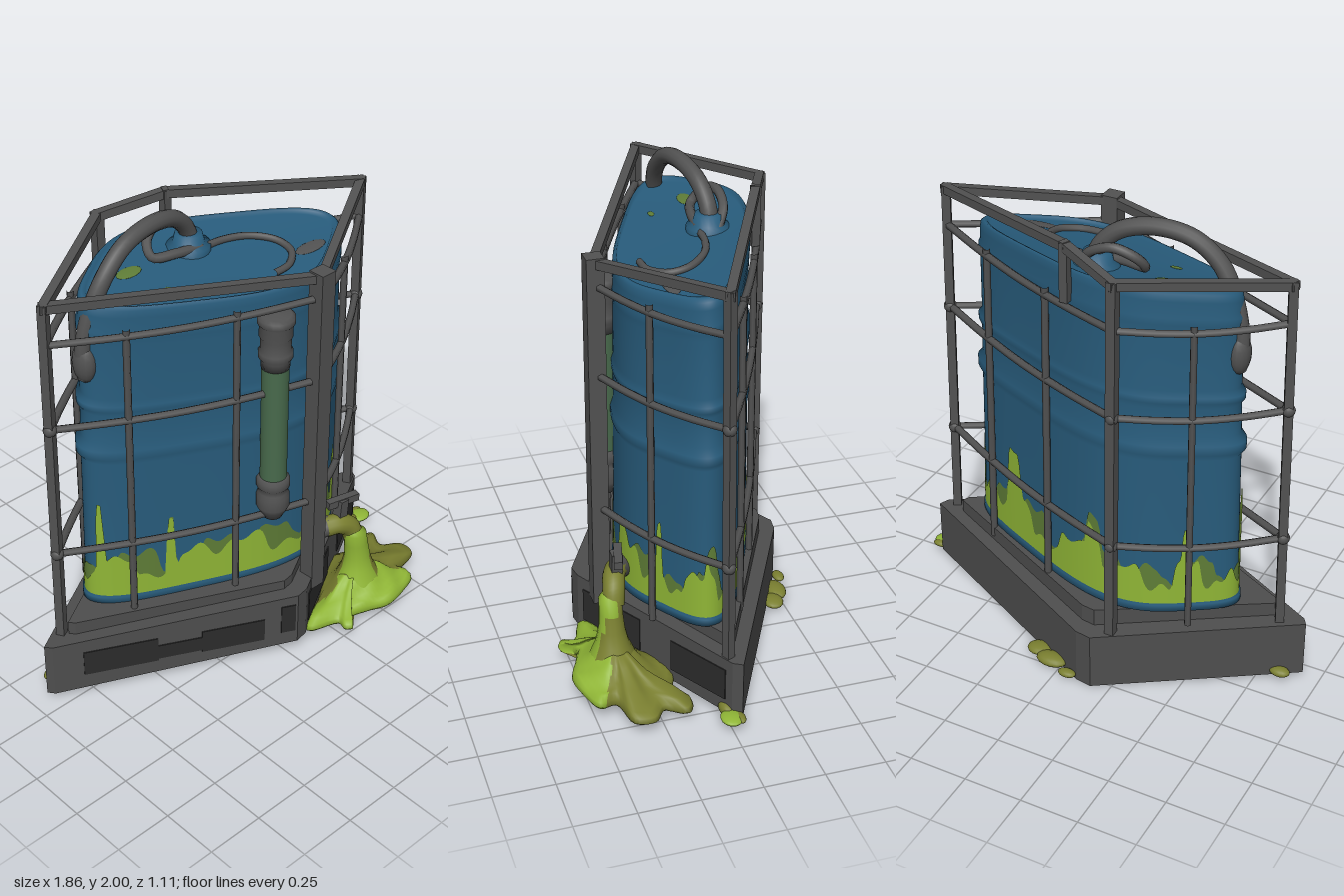
import * as THREE from 'three';

const mat = (name, color, side = THREE.FrontSide) => {
  const m = new THREE.MeshStandardMaterial({ color, side });
  m.name = name;
  return m;
};
const V = (x, y, z) => new THREE.Vector3(x, y, z);

export function createModel() {
  const root = new THREE.Group();
  const blue = mat('drum blue', 0x285c7c);
  const steel = mat('steel grey', 0x525252);
  const palletGrey = mat('pallet grey', 0x4e4e4e);
  const dark = mat('recess dark', 0x2c2c2c);
  const slime = mat('bright slime', 0x90b636, THREE.DoubleSide);
  const mossy = mat('deep slime', 0x5f7d37, THREE.DoubleSide);
  const olive = mat('olive slime', 0x7a7f30, THREE.DoubleSide);
  const glass = mat('gauge green', 0x486a4c);

  const add = (name, geo, m, parent = root) => {
    const mesh = new THREE.Mesh(geo, m);
    mesh.name = name;
    parent.add(mesh);
    return mesh;
  };
  const group = (name) => {
    const g = new THREE.Group();
    g.name = name;
    root.add(g);
    return g;
  };
  const tube = (name, pts, r, m, parent, n = 32, sides = 8) =>
    add(name, new THREE.TubeGeometry(new THREE.CatmullRomCurve3(pts), n, r, sides), m, parent);
  const bar = (name, a, b, w, m, parent) => {
    const mesh = add(name, new THREE.BoxGeometry(w, w, a.distanceTo(b) + w * 0.8), m, parent);
    mesh.position.copy(a).lerp(b, 0.5);
    mesh.lookAt(b);
    return mesh;
  };
  const blob = (name, x, y, z, sx, sy, sz, m, parent) => {
    const mesh = add(name, new THREE.SphereGeometry(1, 14, 10), m, parent);
    mesh.position.set(x, y, z);
    mesh.scale.set(sx, sy, sz);
    return mesh;
  };
  // Loops of points joined into a skin; pick() chooses a material slot per cell
  const skin = (loops, pick = () => 0) => {
    const n = loops[0].length, idx = [[], []];
    for (let j = 0; j < loops.length - 1; j++) for (let i = 0; i < n; i++) {
      const k = (i + 1) % n, a = j * n + i, b = a + n, c = (j + 1) * n + k, d = j * n + k;
      idx[pick(loops[j][i], j)].push(a, b, c, a, c, d);
    }
    const g = new THREE.BufferGeometry();
    g.setAttribute('position', new THREE.Float32BufferAttribute(loops.flat().flatMap((p) => p.toArray()), 3));
    g.setIndex([...idx[0], ...idx[1]]);
    g.addGroup(0, idx[0].length, 0);
    g.addGroup(idx[0].length, idx[1].length, 1);
    g.computeVertexNormals();
    return g;
  };

  // Pallet: skewed slab with a slight slope, a raised tray and dark fork openings
  const pallet = group('pallet');
  const slab = (name, c, y0, y1, s0, s1) => {
    const g = new THREE.ExtrudeGeometry(
      new THREE.Shape(c.map(([x, z]) => new THREE.Vector2(x, -z))), { depth: 1, bevelEnabled: false });
    g.rotateX(-Math.PI / 2);
    const p = g.attributes.position;
    for (let i = 0; i < p.count; i++) {
      const z = p.getZ(i);
      p.setY(i, p.getY(i) < 0.5 ? y0 + s0 * z : y1 + s1 * z);
    }
    g.computeVertexNormals();
    return add(name, g, palletGrey, pallet);
  };
  const foot = [[-0.93, -0.08], [-0.91, -0.05], [0.03, 0.43], [0.09, 0.42], [0.84, -0.01], [0.86, -0.05], [-0.1, -0.53], [-0.17, -0.54]];
  slab('palletBody', foot, 0.037, 0.29, 0.065, 0.06);
  slab('palletTray', foot.map(([x, z]) => [-0.02 + (x + 0.02) * 0.86, -0.055 + (z + 0.055) * 0.84]), 0.26, 0.348, 0.06, 0.02);
  const opening = (a, b, f0, f1, y0, y1) => {
    const dir = V(b[0] - a[0], 0, b[1] - a[1]), len = dir.length();
    const m = add('forkOpening', new THREE.BoxGeometry(len * (f1 - f0), y1 - y0, 0.009), dark, pallet);
    m.position.set(a[0], (y0 + y1) / 2, a[1]).addScaledVector(dir, (f0 + f1) / 2);
    m.rotation.y = Math.atan2(-dir.z, dir.x);
  };
  opening(foot[1], foot[2], 0.12, 0.42, 0.11, 0.23);
  opening(foot[1], foot[2], 0.42, 0.6, 0.12, 0.19);
  opening(foot[1], foot[2], 0.6, 0.86, 0.11, 0.22);
  opening(foot[1], foot[2], 0.93, 0.99, 0.13, 0.27);
  opening(foot[3], foot[4], 0.04, 0.42, 0.11, 0.26);
  opening(foot[3], foot[4], 0.62, 0.96, 0.1, 0.24);

  // Drum: rounded skew cross-section, ribs, top sloping down to the front
  const drumPoint = (t, y, s) => {
    const c = Math.cos(t), n = Math.sin(t);
    const r = 0.99 * s / (Math.abs(c) ** 3.4 + Math.abs(n) ** 3.4) ** (1 / 3.4);
    const z = -0.06 + r * (-0.18 * c + 0.225 * n);
    const k = Math.max(0, (y - 0.45) / 1.31);
    return V(r * (0.28 * c + 0.49 * n), y - 0.17 * (z + 0.06) * k, z);
  };
  const N = 360;
  const ring = (f) => Array.from({ length: N }, (_, i) => f((i / N) * Math.PI * 2));
  const profile = [[0.33, 0.96], [0.345, 1.03], [0.375, 1.03], [0.39, 1.005], [0.5, 1.005], [1.05, 0.99], [1.08, 1.025],
    [1.12, 1.025], [1.15, 0.985], [1.28, 0.98], [1.305, 1.005], [1.33, 1.005], [1.355, 0.975], [1.6, 0.97], [1.63, 0.98],
    [1.66, 0.98], [1.68, 0.965], [1.725, 0.965], [1.755, 0.955], [1.768, 0.93], [1.765, 0.9], [1.75, 0.885], [1.75, 0]];
  add('drum', skin(profile.map(([y, s]) => ring((t) => drumPoint(t, y, s)))), blue);

  // Slime coating on the drum: lumpy plateaus with round-topped drips [angle, height, half width] over a deeper layer
  const drips = [[3.32, 0.27, 0.035], [3.86, 0.3, 0.04], [1.64, 0.24, 0.05], [0.18, 0.24, 0.09], [4.75, 0.16, 0.06], [5.6, 0.14, 0.06],
    [2.2, 0.08, 0.1], [0.9, 0.1, 0.08]];
  const edge = (t, ph) => {
    let h = 0.535 + 0.055 * Math.tanh(2.5 * (Math.sin(7 * t + ph) + Math.sin(12 * t + 1 + ph * 2))) + 0.018 * Math.sin(29 * t + ph);
    for (const [d, a, w] of drips) h += a * Math.exp(-(((t - d) / w) ** 6));
    return h;
  };
  const coat = (name, m, y0, s, ph, dh) => add(name, skin([0, 0.35, 0.7, 1].map((f) => ring((t) => {
    const top = edge(t, ph) + dh;
    return drumPoint(t, y0 + (top - y0) * f, s);
  }))), m);
  coat('slimeShade', mossy, 0.38, 1.012, 1.1, 0.005);
  coat('slimeCoat', slime, 0.375, 1.018, 0, -0.015);

  // Cage: four posts, top ring, bowed rails and uprights
  const cage = group('cage');
  const posts = [V(-0.8, 1.84, -0.11), V(0.19, 1.77, 0.35), V(0.77, 1.84, 0), V(-0.24, 1.87, -0.47)];
  const feet = [V(-0.82, 0.28, -0.1), V(0.19, 0.28, 0.35), V(0.79, 0.28, -0.01), V(-0.23, 0.25, -0.47)];
  const widths = [0.036, 0.072, 0.036, 0.04];
  posts.forEach((p, i) => bar('cornerPost', feet[i], p, widths[i], steel, cage));
  const stub = V(0.02, 1.92, -0.36);
  bar('rearStub', V(0.02, 1.7, -0.36), stub, 0.035, steel, cage);
  const top = [posts[0], posts[1], posts[2], stub, posts[3]];
  top.forEach((p, i) => bar('topRail', p, top[(i + 1) % 5], 0.036, steel, cage));
  const uprights = [[0.28, 0.68], [0.45], [0.28, 0.64], [0.45]];
  for (let i = 0; i < 4; i++) {
    const j = (i + 1) % 4;
    const out = V(posts[j].z - posts[i].z, 0, posts[i].x - posts[j].x).normalize().negate();
    const at = (y, f) => {
      const q = (k) => feet[k].clone().lerp(posts[k], (y - 0.28) / 1.56).setY(y);
      return q(i).lerp(q(j), f).addScaledVector(out, 0.022 * Math.sin(Math.PI * f));
    };
    for (const y of [0.7, 1.3, 1.68])
      tube('sideRail', [0, 0.25, 0.5, 0.75, 1].map((f) => at(y - 0.015 * Math.sin(Math.PI * f), f)), 0.016, steel, cage, 16, 6);
    for (const f of uprights[i])
      tube('upright', [0.3, 0.8, 1.3, 1.7].map((y) => at(y, f)), 0.015, steel, cage, 10, 6);
    for (const f of [0, 1]) for (const y of [0.7, 1.3]) {
      const p = at(y, f);
      blob('railJoint', p.x, p.y, p.z, 0.028, 0.028, 0.028, steel, cage);
    }
  }

  // Level gauge set into the front face
  const gauge = group('levelGauge');
  gauge.position.set(0.02, 0, 0.275);
  const lathe = (name, pts, m, parent) =>
    add(name, new THREE.LatheGeometry(pts.map(([r, y]) => new THREE.Vector2(r, y)), 20), m, parent);
  lathe('gaugeTube', [[0.056, 0.85], [0.056, 1.45]], glass, gauge);
  lathe('gaugeTopFitting', [[0, 1.4], [0.058, 1.405], [0.06, 1.44], [0.07, 1.455], [0.07, 1.48], [0.062, 1.49], [0.062, 1.54],
    [0.068, 1.55], [0.068, 1.6], [0.076, 1.61], [0.076, 1.635], [0.06, 1.645], [0, 1.65]], steel, gauge);
  lathe('gaugeBottomFitting', [[0, 0.66], [0.04, 0.67], [0.06, 0.71], [0.07, 0.73], [0.07, 0.78], [0.062, 0.8], [0.062, 0.82],
    [0.07, 0.83], [0.07, 0.86], [0.058, 0.875], [0, 0.88]], steel, gauge);

  // Hoses and filler neck on the drum top
  const hoses = group('hoses');
  tube('mainHose', [V(-0.6, 1.44, -0.13), V(-0.61, 1.56, -0.13), V(-0.575, 1.72, -0.12), V(-0.51, 1.85, -0.11), V(-0.4, 1.94, -0.12),
    V(-0.25, 1.965, -0.14), V(-0.11, 1.93, -0.165), V(-0.03, 1.85, -0.18), V(0, 1.75, -0.18)], 0.035, steel, hoses, 48, 12);
  blob('hoseEnd', -0.605, 1.51, -0.13, 0.045, 0.09, 0.055, steel, hoses);
  tube('coiledHose', [V(0.03, 1.77, -0.2), V(-0.02, 1.85, -0.24), V(-0.12, 1.89, -0.24), V(-0.21, 1.85, -0.21),
    V(-0.22, 1.8, -0.17), V(-0.12, 1.79, -0.14), V(0, 1.78, -0.13)], 0.02, steel, hoses, 40);
  tube('thinHose', [[0, -0.13], [0.12, -0.12], [0.22, -0.08], [0.29, 0], [0.29, 0.08], [0.22, 0.14], [0.13, 0.15]]
    .map(([x, z]) => V(x, 1.76 - 0.17 * (z + 0.06), z)), 0.015, steel, hoses, 40);
  lathe('fillerNeck', [[0.09, 1.74], [0.09, 1.78], [0.065, 1.79], [0.055, 1.83], [0, 1.835]], blue, hoses).position.set(-0.02, 0, -0.18);
  const stain = (x, z, rx, rz, m) => blob('lidStain', x, 1.751 - 0.17 * (z + 0.06), z, rx, 0.004, rz, m, root).rotateX(0.168);
  stain(-0.33, -0.18, 0.06, 0.03, mossy);
  stain(-0.28, -0.02, 0.025, 0.012, mossy);
  stain(0.38, 0.1, 0.08, 0.03, steel);

  // Tap with its handle, and the slime pouring from it in a widening stream
  const tap = group('tap');
  tube('tapPipe', [V(0.24, 0.43, 0.22), V(0.28, 0.45, 0.28), V(0.33, 0.47, 0.32)], 0.045, steel, tap, 12, 12);
  tube('tapSpout', [V(0.31, 0.465, 0.31), V(0.36, 0.47, 0.335), V(0.41, 0.44, 0.35), V(0.435, 0.38, 0.36)], 0.046, olive, tap, 18, 12);
  bar('tapStem', V(0.37, 0.46, 0.33), V(0.38, 0.57, 0.33), 0.045, steel, tap);
  bar('tapHandle', V(0.33, 0.575, 0.31), V(0.45, 0.575, 0.34), 0.034, steel, tap);
  const stream = [[0.42, 0.43, 0.03], [0.43, 0.41, 0.052], [0.44, 0.35, 0.054], [0.45, 0.28, 0.06], [0.455, 0.22, 0.075], [0.46, 0.17, 0.1], [0.46, 0.1, 0.13]];
  add('pouringSlime', skin(stream.reverse().map(([x, y, r]) =>
    Array.from({ length: 16 }, (_, i) => V(x + r * Math.cos(i * Math.PI / 8), y, 0.372 + r * 0.9 * Math.sin(i * Math.PI / 8)))),
  (p) => (p.z > 0.35 && p.x < 0.5 ? 0 : 1)), [slime, olive], tap);

  // Puddle: lobed outline with a flat underside, rounding off into a mound below the stream
  const puddle = group('puddle');
  const outline = new THREE.CatmullRomCurve3([[0.1, 0.42], [0.3, 0.3], [0.52, 0.14], [0.67, 0.18], [0.72, 0.12], [0.8, 0.15], [0.76, 0.24],
    [0.83, 0.3], [0.82, 0.38], [0.68, 0.42], [0.69, 0.49], [0.6, 0.53], [0.48, 0.55], [0.38, 0.51], [0.29, 0.49], [0.25, 0.55],
    [0.22, 0.53], [0.23, 0.48]].map(([x, z]) => V(x, 0, z)), true).getPoints(90).slice(0, 90);
  const steps = [[0, 0.055], [0.95, 0.055], [1, 0.07], [0.98, 0.09], [0.9, 0.105], [0.8, 0.115], [0.66, 0.13], [0.52, 0.153], [0.4, 0.178],
    [0.28, 0.2], [0.14, 0.21], [0, 0.215]];
  const loops = steps.map(([f, y], j) => outline.map((p) => {
    const dx = p.x - 0.46, dz = p.z - 0.37, a = Math.atan2(dz, dx), w = j < 2 ? 1 : f;
    const x = 0.46 + f * (dx * w + 0.32 * Math.cos(a) * (1 - w));
    const z = 0.37 + f * (dz * w + 0.2 * Math.sin(a) * (1 - w));
    return V(x, y + 0.06 * (z - 0.37) + (j > 3 ? 0.01 * Math.sin(7 * a + j * 1.3) * f : 0), z);
  }));
  add('puddleSurface', skin(loops, (p, j) => (j > 0 && p.z > 0.43 + 0.02 * Math.sin(p.x * 30) - (p.x < 0.36 ? 0.06 : 0) ? 0 : 1)),
    [slime, olive], puddle);

  // Stray slime around the pallet corners
  const splats = [[0.87, 0.05, 0, 0.055, 0.016, 0.045], [0.88, 0.05, -0.035, 0.035, 0.014, 0.02], [0.8, 0.05, 0.0, 0.05, 0.03, 0.03],
    [0.04, 0.03, -0.49, 0.07, 0.025, 0.045], [0.12, 0.03, -0.45, 0.055, 0.02, 0.045], [-0.06, 0.03, -0.54, 0.04, 0.016, 0.025],
    [-0.85, 0.05, -0.14, 0.045, 0.02, 0.03]];
  splats.forEach((s, i) => blob('slimeSplat', ...s, i ? olive : slime, puddle));

  return root;
}
